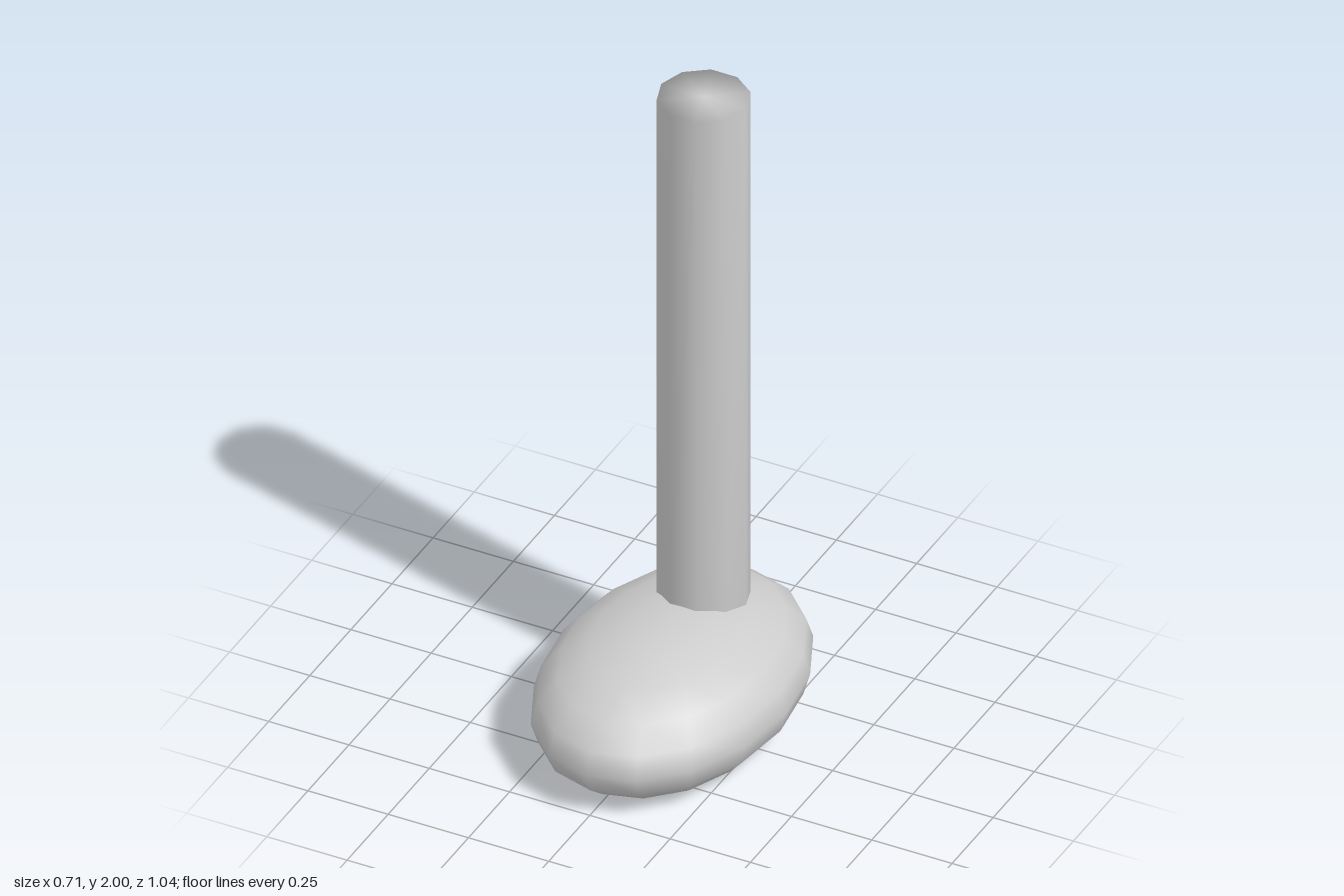
import * as THREE from 'three';
import { mergeVertices } from 'three/addons/utils/BufferGeometryUtils.js';

// Weld all corners so normals run smoothly over the whole surface
function weld(geometry) {
  geometry.deleteAttribute('uv');
  geometry.deleteAttribute('normal');
  const welded = mergeVertices(geometry, 1e-4);
  welded.computeVertexNormals();
  return welded;
}

export function createModel() {
  const model = new THREE.Group();
  const grey = new THREE.MeshStandardMaterial({ color: 0xcccccc });
  grey.name = 'light grey';

  // Foot: squashed ellipsoid with its underside flattened on the ground
  const footGeometry = new THREE.SphereGeometry(1, 16, 10);
  footGeometry.scale(0.355, 0.21, 0.522);
  footGeometry.translate(0, 0.147, 0);
  const pos = footGeometry.attributes.position;
  for (let i = 0; i < pos.count; i++) pos.setY(i, Math.max(0, pos.getY(i)));
  const foot = new THREE.Mesh(weld(footGeometry), grey);
  foot.name = 'foot';

  // Leg: ten-sided column, set towards the heel, with a flat top
  const legGeometry = new THREE.CylinderGeometry(0.132, 0.132, 1.85, 10, 1, false, Math.PI / 2);
  legGeometry.translate(0, 1.075, -0.192);
  const leg = new THREE.Mesh(weld(legGeometry), grey);
  leg.name = 'leg';

  model.add(foot, leg);
  return model;
}
